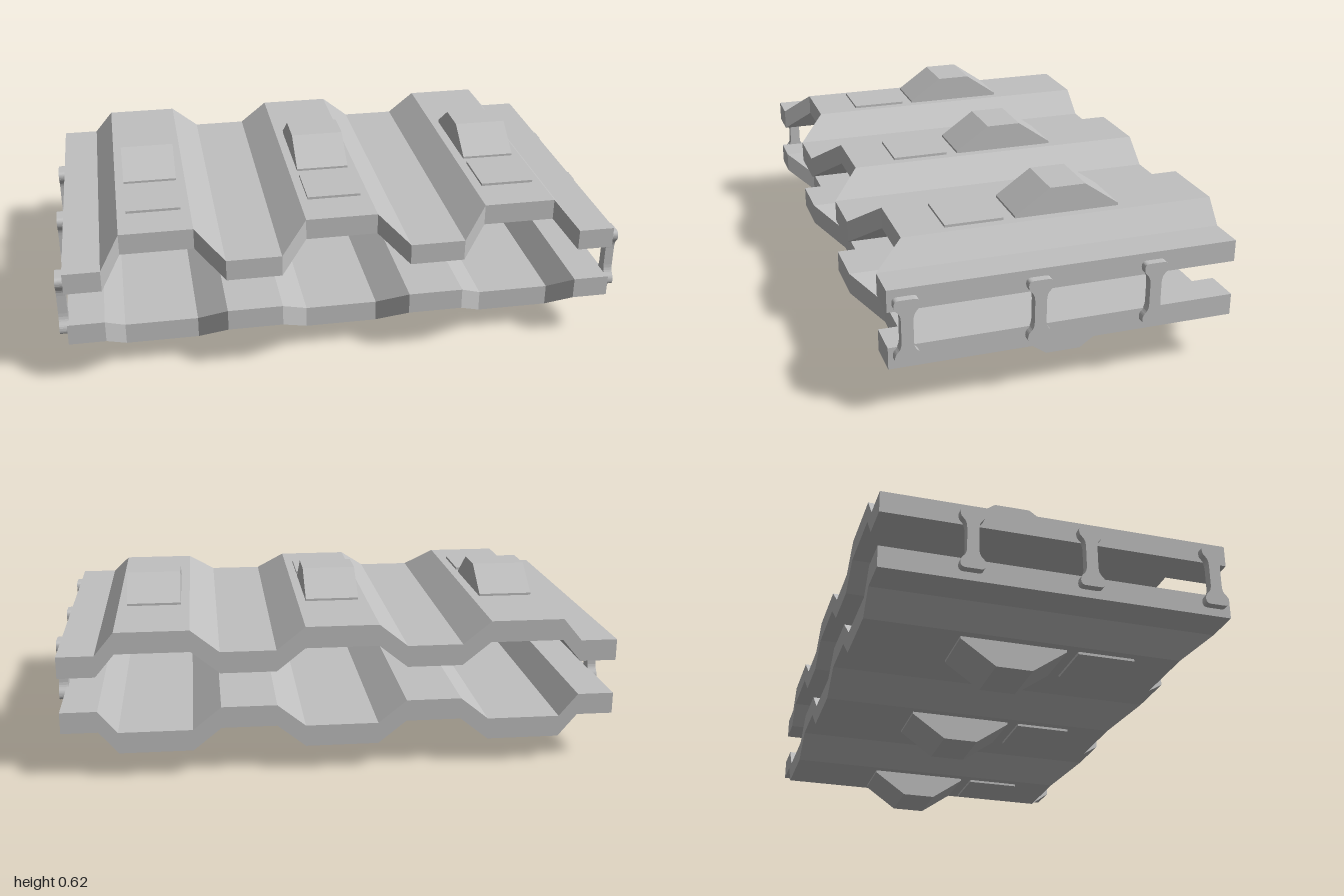
import * as THREE from 'three';

const MID = 0.312; // height of the mirror plane between the two plates
const FLAT = 0.138, RIDGE = 0.218, THICK = 0.076, FRONT = 0.6, BACK = -0.6;

// Corrugated plate: one row of quads per fold, ridges set back at the front
function plateGeometry() {
  const half = [[0.128, 1], [0.228, 0], [0.422, 0], [0.521, 1], [0.778, 1], [0.845, 0], [0.973, 0]];
  const folds = [...half.map(([x, r]) => [-x, r]).reverse(), ...half];
  const section = ([x, r]) => {
    const top = r ? RIDGE : FLAT, low = top - THICK, front = r ? FRONT - 0.1 : FRONT;
    return { tf: [x, top, front], tb: [x, top, BACK], lf: [x, low, front], lb: [x, low, BACK] };
  };
  const pos = [];
  const quad = (a, b, c, d) => pos.push(...a, ...b, ...c, ...a, ...c, ...d);
  const s = folds.map(section);
  for (let i = 0; i < s.length - 1; i++) {
    const p = s[i], q = s[i + 1];
    quad(p.tf, q.tf, q.tb, p.tb); // top
    quad(p.lb, q.lb, q.lf, p.lf); // underside
    quad(p.lf, q.lf, q.tf, p.tf); // front edge
    quad(q.lb, p.lb, p.tb, q.tb); // back edge
  }
  const a = s[0], z = s[s.length - 1];
  quad(a.lb, a.lf, a.tf, a.tb);
  quad(z.lf, z.lb, z.tb, z.tf);
  const g = new THREE.BufferGeometry();
  g.setAttribute('position', new THREE.Float32BufferAttribute(pos, 3));
  g.computeVertexNormals();
  return g;
}

// Extrudes a (z, y) outline along x, centred on x = 0
function sideExtrude(shape, width) {
  const g = new THREE.ExtrudeGeometry(shape, { depth: width, bevelEnabled: false, curveSegments: 8 });
  g.translate(0, 0, -width / 2);
  g.rotateY(-Math.PI / 2); // shape x becomes +z
  return g;
}

// Link outline: rounded ends and a narrow waist
function linkShape() {
  const w = 0.042, h = 0.11, n = 0.02;
  const s = new THREE.Shape();
  s.moveTo(-w + 0.018, -h);
  s.lineTo(w - 0.018, -h);
  s.quadraticCurveTo(w, -h, w, -h + 0.018);
  s.bezierCurveTo(w, -0.065, n, -0.075, n, -0.035);
  s.lineTo(n, 0.035);
  s.bezierCurveTo(n, 0.075, w, 0.065, w, h - 0.018);
  s.quadraticCurveTo(w, h, w - 0.018, h);
  s.lineTo(-w + 0.018, h);
  s.quadraticCurveTo(-w, h, -w, h - 0.018);
  s.bezierCurveTo(-w, 0.065, -n, 0.075, -n, 0.035);
  s.lineTo(-n, -0.035);
  s.bezierCurveTo(-n, -0.075, -w, -0.065, -w, -h + 0.018);
  s.quadraticCurveTo(-w, -h, -w + 0.018, -h);
  return s;
}

export function createModel() {
  const model = new THREE.Group();
  model.name = 'doublePlateTrack';
  const steel = new THREE.MeshStandardMaterial({ color: 0xc0c0c0 });
  steel.name = 'steel grey';
  const add = (parent, geometry, name, x, y, z) => {
    const m = new THREE.Mesh(geometry, steel);
    m.name = name;
    m.position.set(x, y, z);
    parent.add(m);
  };

  // Upper half: plate with a guide block and a pad on every ridge
  const upper = new THREE.Group();
  upper.name = 'upperHalf';
  upper.position.y = MID;
  add(upper, plateGeometry(), 'corrugatedPlate', 0, 0, 0);
  const blockOutline = new THREE.Shape([[0.102, RIDGE - 0.01], [0.102, 0.226], [-0.021, 0.312],
    [-0.147, 0.312], [-0.27, 0.226], [-0.27, RIDGE - 0.01]].map(p => new THREE.Vector2(...p)));
  const blockGeo = sideExtrude(blockOutline, 0.194);
  const padGeo = new THREE.BoxGeometry(0.194, 0.018, 0.202);
  for (const x of [-0.65, 0, 0.65]) {
    add(upper, blockGeo, 'guideBlock', x, 0, 0);
    add(upper, padGeo, 'pad', x, RIDGE, 0.244);
  }
  model.add(upper);

  // Lower half: the same turned upside down
  const lower = upper.clone();
  lower.name = 'lowerHalf';
  lower.rotation.z = Math.PI;
  model.add(lower);

  // Links joining the plates on both sides
  const linkGeo = sideExtrude(linkShape(), 0.032);
  for (const x of [-0.984, 0.984])
    for (const z of [0.542, 0.102, -0.3]) add(model, linkGeo, 'sideLink', x, MID + 0.001, z);

  return model;
}
